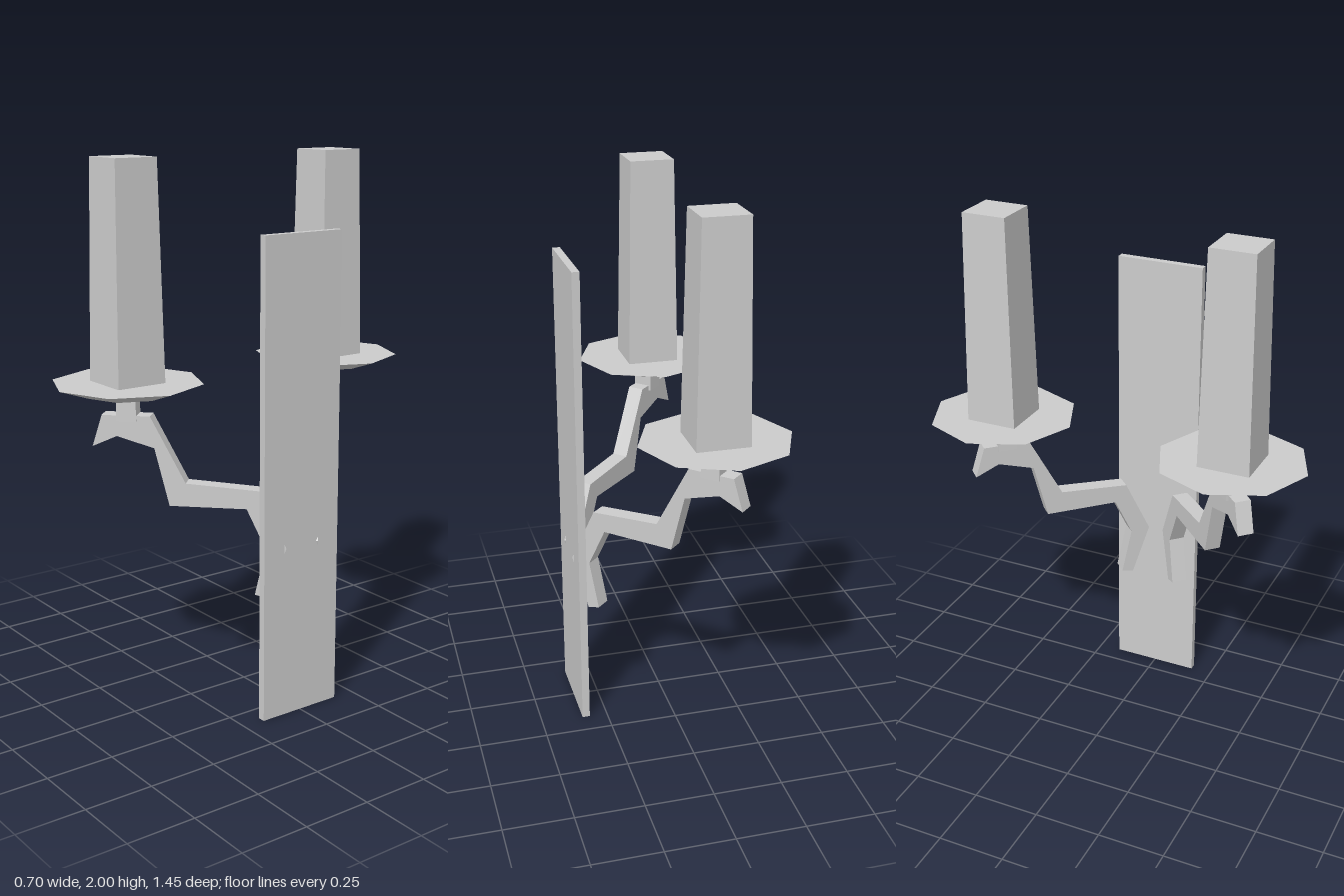
import * as THREE from 'three';

const material = new THREE.MeshStandardMaterial({ color: 0xcccccc, flatShading: true });

function addMesh(parent, name, geometry, x, y, z) {
  const mesh = new THREE.Mesh(geometry, material);
  mesh.name = name;
  mesh.position.set(x, y, z);
  parent.add(mesh);
  return mesh;
}

// Side outline of the bent arm: distance along x, height
const armOutline = [
  [-0.163, 0.99], [-0.1, 1.03], [-0.005, 0.99], [0.032, 0.78], [0.228, 0.78],
  [0.276, 0.635], [0.249, 0.46], [0.281, 0.45], [0.329, 0.64], [0.26, 0.848],
  [0.074, 0.865], [-0.015, 1.105], [-0.138, 1.105],
];

function armGeometry() {
  // The arm runs diagonally, so its true length is stretched by sqrt(2)
  const shape = new THREE.Shape(armOutline.map(([x, y]) => new THREE.Vector2(x * Math.SQRT2, y)));
  const width = 0.06;
  return new THREE.ExtrudeGeometry(shape, { depth: width, bevelEnabled: false })
    .translate(0, 0, -width / 2);
}

export function createModel() {
  const model = new THREE.Group();
  model.name = 'wallCandleHolder';

  // Upright wall plate
  addMesh(model, 'wallPlate', new THREE.BoxGeometry(0.028, 1.752, 0.334), 0.331, 0.876, 0);

  const arm = armGeometry();
  const stem = new THREE.CylinderGeometry(0.049, 0.051, 0.1, 4);
  const dish = new THREE.CylinderGeometry(0.273, 0.157, 0.04, 8);
  const candle = new THREE.CylinderGeometry(0.083 * Math.SQRT2, 0.096 * Math.SQRT2, 0.78, 4)
    .rotateY(Math.PI / 4);

  // One arm with dish and candle on each side
  for (const side of [1, -1]) {
    const branch = new THREE.Group();
    branch.name = side > 0 ? 'frontBranch' : 'backBranch';
    addMesh(branch, 'arm', arm, 0, 0, side * 0.38).rotation.y = side * Math.PI / 4;
    const x = -0.077, z = side * 0.453;
    addMesh(branch, 'stem', stem, x, 1.135, z);
    addMesh(branch, 'dripDish', dish, x, 1.2, z);
    addMesh(branch, 'candle', candle, x, 1.61, z);
    model.add(branch);
  }
  return model;
}
